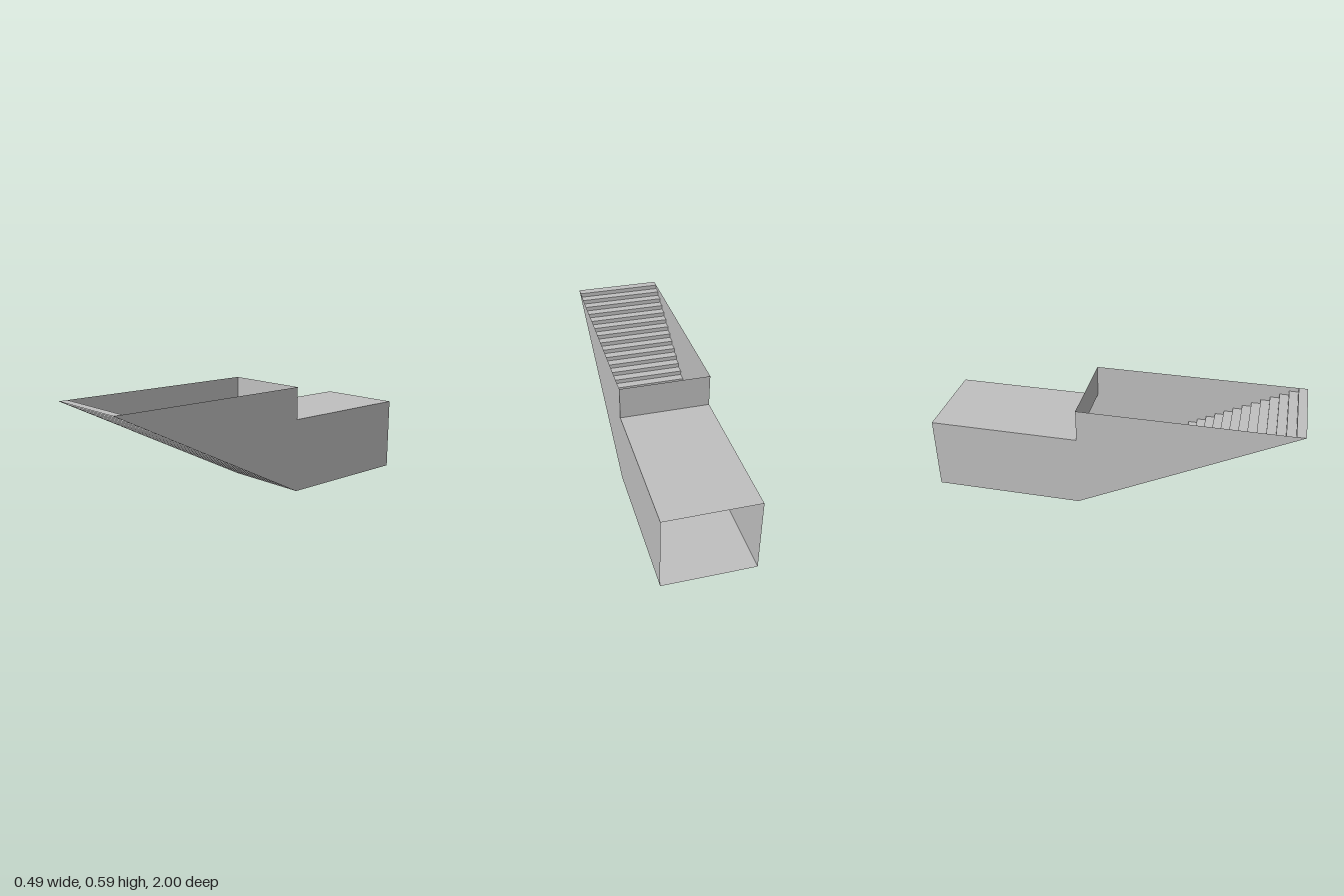
import * as THREE from 'three';

const HALF_WIDTH = 0.246;
const TOP = 0.592;       // street level
const CEILING = 0.411;   // tunnel height
const FOOT = -0.178;     // z where the stairs meet the tunnel
const FRONT = 1, BACK = -1;
const STEPS = 24;

// Sweeps a [z, y] profile across the width as flat, hard-edged panels
function strip(profile) {
  const pos = [];
  for (let i = 0; i < profile.length - 1; i++) {
    const [z0, y0] = profile[i], [z1, y1] = profile[i + 1];
    const a = [-HALF_WIDTH, y0, z0], b = [HALF_WIDTH, y0, z0];
    const c = [HALF_WIDTH, y1, z1], d = [-HALF_WIDTH, y1, z1];
    pos.push(...a, ...c, ...b, ...a, ...d, ...c);
  }
  const geometry = new THREE.BufferGeometry();
  geometry.setAttribute('position', new THREE.Float32BufferAttribute(pos, 3));
  geometry.computeVertexNormals();
  return geometry;
}

export function createModel() {
  const group = new THREE.Group();
  group.name = 'stairwayTunnel';
  const concrete = new THREE.MeshStandardMaterial({ color: 0xc0c0c0, side: THREE.DoubleSide });
  concrete.name = 'concrete grey';

  const add = (name, geometry) => {
    const mesh = new THREE.Mesh(geometry, concrete);
    mesh.name = name;
    group.add(mesh);
    return mesh;
  };

  // Side walls: sloped under the stairs, stepped down over the tunnel
  const outline = new THREE.Shape([
    [FRONT, TOP], [FOOT, TOP], [FOOT, CEILING], [BACK, CEILING], [BACK, 0], [FOOT, 0],
  ].map(([z, y]) => new THREE.Vector2(z, y)));
  for (const [name, side] of [['leftWall', 1], ['rightWall', -1]]) {
    const wall = add(name, new THREE.ShapeGeometry(outline).rotateY(-Math.PI / 2));
    wall.position.x = side * HALF_WIDTH;
  }

  // Stairs: risers and treads climbing to the front, open underneath
  const rise = TOP / STEPS, run = (FRONT - FOOT) / STEPS;
  const stairs = [[FOOT, 0]];
  for (let i = 0; i < STEPS; i++) {
    stairs.push([FOOT + i * run, (i + 1) * rise], [FOOT + (i + 1) * run, (i + 1) * rise]);
  }
  add('stairs', strip(stairs));

  // Tunnel, open at the back, and the wall above its mouth
  add('tunnelFloor', strip([[BACK, 0], [FOOT, 0]]));
  add('tunnelCeiling', strip([[BACK, CEILING], [FOOT, CEILING]]));
  add('headWall', strip([[FOOT, CEILING], [FOOT, TOP]]));

  return group;
}
